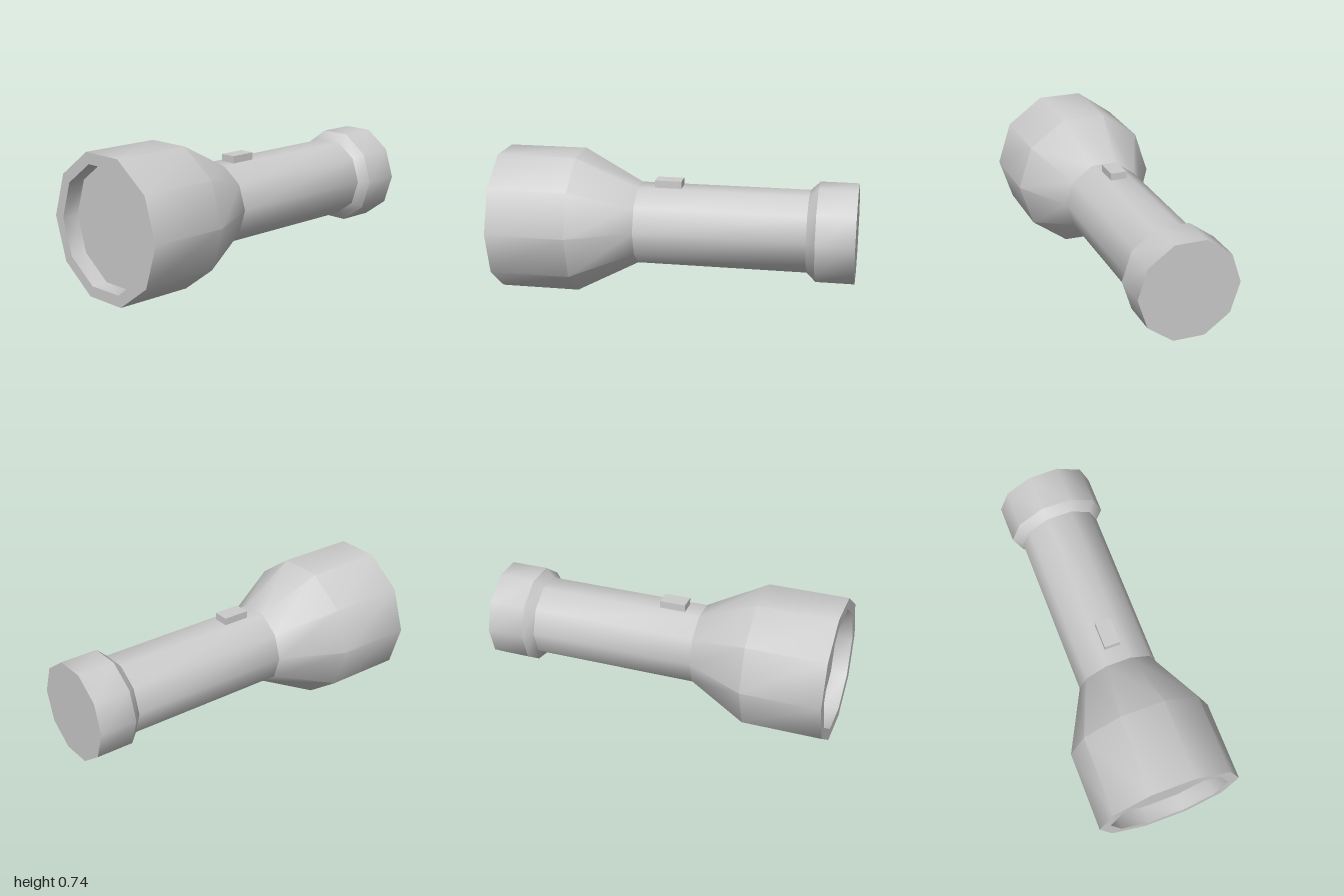
import * as THREE from 'three';
import { toCreasedNormals } from 'three/addons/utils/BufferGeometryUtils.js';

const SIDES = 10;
const AXIS_HEIGHT = 0.368;

export function createModel() {
  const model = new THREE.Group();
  model.name = 'flashlight';
  const material = new THREE.MeshStandardMaterial({ color: 0xcccccc });

  const add = (name, geometry) => {
    const mesh = new THREE.Mesh(geometry, material);
    mesh.name = name;
    model.add(mesh);
    return mesh;
  };

  // Ten-sided solid of revolution along z; profile is [radius, z] from back to front
  const turned = (name, profile) => {
    const points = profile.map(([r, z]) => new THREE.Vector2(r, z));
    const lathe = new THREE.LatheGeometry(points, SIDES, Math.PI / SIDES, Math.PI * 2);
    lathe.rotateX(Math.PI / 2); // flats at top and bottom, corners at the sides
    return add(name, toCreasedNormals(lathe, 0.7));
  };

  // Closed back end with its chamfer down to the barrel
  turned('tailCap', [[0, -0.952], [0.264, -0.952], [0.264, -0.749], [0.218, -0.701]]);

  // Handle tube
  turned('barrel', [[0.218, -0.701], [0.218, 0.203]]);

  // Flared head, front rim and inner wall of the recess
  turned('head', [
    [0.218, 0.203], [0.387, 0.527], [0.387, 0.952], [0.326, 0.952], [0.326, 0.862],
  ]);

  // Flat lens at the bottom of the recess
  turned('lens', [[0.326, 0.862], [0, 0.862]]);

  // Slide switch on top of the barrel
  const slider = add('switch', new THREE.BoxGeometry(0.086, 0.044, 0.142));
  slider.position.set(0, 0.224, 0.044);

  // Lay the whole thing at a slight angle on the ground
  model.rotation.y = -0.22;
  model.position.set(0.059, AXIS_HEIGHT, -0.014);

  const root = new THREE.Group();
  root.name = 'model';
  root.add(model);
  return root;
}
